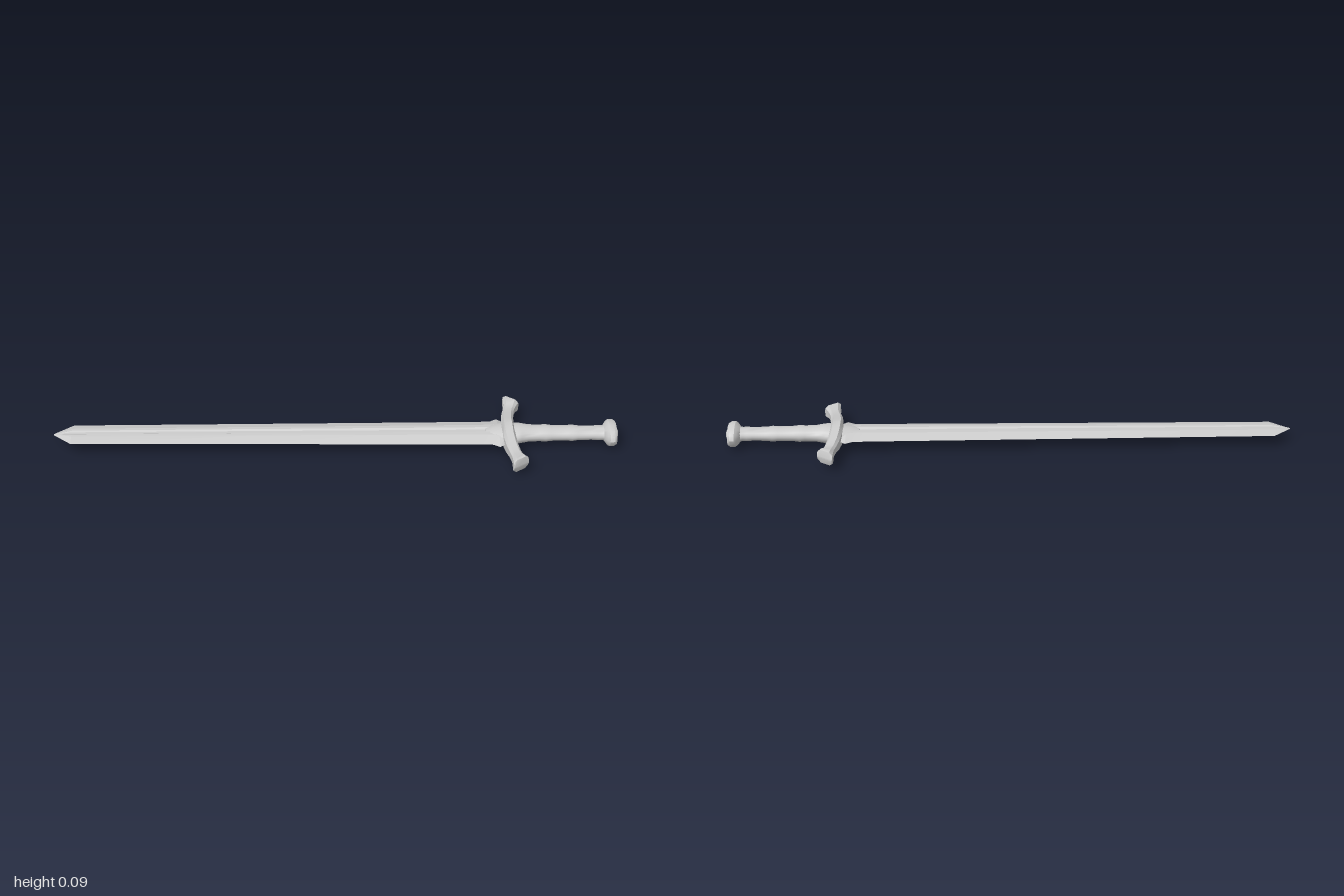
import * as THREE from 'three';
import { toCreasedNormals } from 'three/addons/utils/BufferGeometryUtils.js';

const MID = 0.044; // height of the sword's long axis
const material = new THREE.MeshStandardMaterial({ color: 0xcccccc });

// Skin a list of equal-length rings of [x, y, z] points and close both ends.
function loft(rings, crease) {
  const n = rings[0].length, pos = rings.flat(2), idx = [];
  for (let r = 0; r < rings.length - 1; r++) {
    for (let i = 0; i < n; i++) {
      const a = r * n + i, b = r * n + (i + 1) % n;
      idx.push(a, b, b + n, a, b + n, a + n);
    }
  }
  for (const r of [0, rings.length - 1]) {
    const c = pos.length / 3;
    for (let k = 0; k < 3; k++) pos.push(rings[r].reduce((s, p) => s + p[k], 0) / n);
    for (let i = 0; i < n; i++) {
      const a = r * n + i, b = r * n + (i + 1) % n;
      if (r === 0) idx.push(c, b, a); else idx.push(c, a, b);
    }
  }
  // turn the faces outward if the rings ran the other way
  const v = (i) => new THREE.Vector3().fromArray(pos, i * 3);
  let volume = 0;
  for (let i = 0; i < idx.length; i += 3) volume += v(idx[i]).dot(v(idx[i + 1]).cross(v(idx[i + 2])));
  if (volume < 0) idx.reverse();
  const g = new THREE.BufferGeometry();
  g.setAttribute('position', new THREE.Float32BufferAttribute(pos, 3));
  g.setIndex(idx);
  return toCreasedNormals(g, crease);
}

// Oval body along x; each station is [x, half width in z, half height in y].
function ovalBody(stations, sides, crease) {
  return loft(stations.map(([x, w, h]) => Array.from({ length: sides }, (_, i) => {
    const a = (i / sides) * Math.PI * 2;
    return [x, MID + Math.sin(a) * h, Math.cos(a) * w];
  })), crease);
}

export function createModel() {
  const sword = new THREE.Group();
  sword.name = 'sword';
  const add = (name, geometry) => {
    const mesh = new THREE.Mesh(geometry, material);
    mesh.name = name;
    sword.add(mesh);
  };

  // Blade: bevelled edges with a shallow fuller along each face
  const half = [[1, 0], [0.42, 0.95], [0.2, 1], [0.1, 0.65]];
  const bladeSection = [
    ...half, ...half.slice(1).reverse().map(([z, y]) => [-z, y]),
    [-1, 0],
    ...half.slice(1).map(([z, y]) => [-z, -y]), ...half.slice(1).reverse().map(([z, y]) => [z, -y]),
  ];
  const bladeStations = [
    [-1, 0.002, 0.002], [-0.935, 0.061, 0.009], [-0.3, 0.067, 0.012],
    [0.5, 0.075, 0.015], [0.55, 0.077, 0.016], [0.575, 0.092, 0.016], [0.6, 0.07, 0.016],
  ];
  add('blade', loft(bladeStations.map(([x, w, t]) =>
    bladeSection.map(([z, y]) => [x, MID + y * t, z * w])), 0.2));

  // Collar where the blade enters the guard
  add('bladeCollar', ovalBody([[0.53, 0.04, 0.014], [0.56, 0.05, 0.022], [0.6, 0.058, 0.027]], 12, 0.5));

  // Crossguard: arms sweep towards the grip and flare into wedge ends
  // station: [centre x, centre z, half depth, half height, sweep angle]
  const arm = [
    [0.61, 0.05, 0.022, 0.034, 0.05], [0.615, 0.1, 0.021, 0.025, 0.13],
    [0.623, 0.14, 0.02, 0.018, 0.2], [0.629, 0.165, 0.022, 0.019, 0.35],
    [0.634, 0.193, 0.031, 0.026, 0.6], [0.636, 0.202, 0.034, 0.024, 0.65],
    [0.638, 0.209, 0.034, 0.002, 0.65],
  ];
  const guardStations = [
    ...arm.map(([x, z, d, h, a]) => [x, -z, d, h, -a]).reverse(),
    [0.608, 0, 0.023, 0.044, 0],
    ...arm,
  ];
  const guardSection = [[1, 0.6], [0.6, 1], [-0.6, 1], [-1, 0.6], [-1, -0.6], [-0.6, -1], [0.6, -1], [1, -0.6]];
  add('crossguard', loft(guardStations.map(([x, z, d, h, a]) => guardSection.map(([u, v]) =>
    [x + u * d * Math.cos(a), MID + v * h, z - u * d * Math.sin(a)])), 0.5));

  // Grip: oval handle with a flared root and low raised bands
  add('grip', ovalBody([
    [0.61, 0.05, 0.03], [0.64, 0.052, 0.031], [0.655, 0.046, 0.031], [0.68, 0.04, 0.027],
    [0.72, 0.037, 0.026], [0.74, 0.039, 0.028], [0.76, 0.036, 0.025],
    [0.815, 0.035, 0.024], [0.835, 0.037, 0.026], [0.855, 0.034, 0.023],
    [0.905, 0.032, 0.022], [0.925, 0.034, 0.024], [0.94, 0.033, 0.023], [0.96, 0.04, 0.026],
  ], 20, 0.7));

  // Pommel: oval disc with a dished face and a domed centre
  const pommelProfile = [
    [0.945, 0.5], [0.957, 0.86], [0.965, 1], [0.981, 1], [0.99, 0.88], [0.986, 0.72],
    [0.988, 0.58], [0.995, 0.4], [0.999, 0.2], [1, 0.02],
  ];
  add('pommel', ovalBody(pommelProfile.map(([x, r]) => [x, 0.064 * r, 0.041 * r]), 14, 0.6));

  return sword;
}
